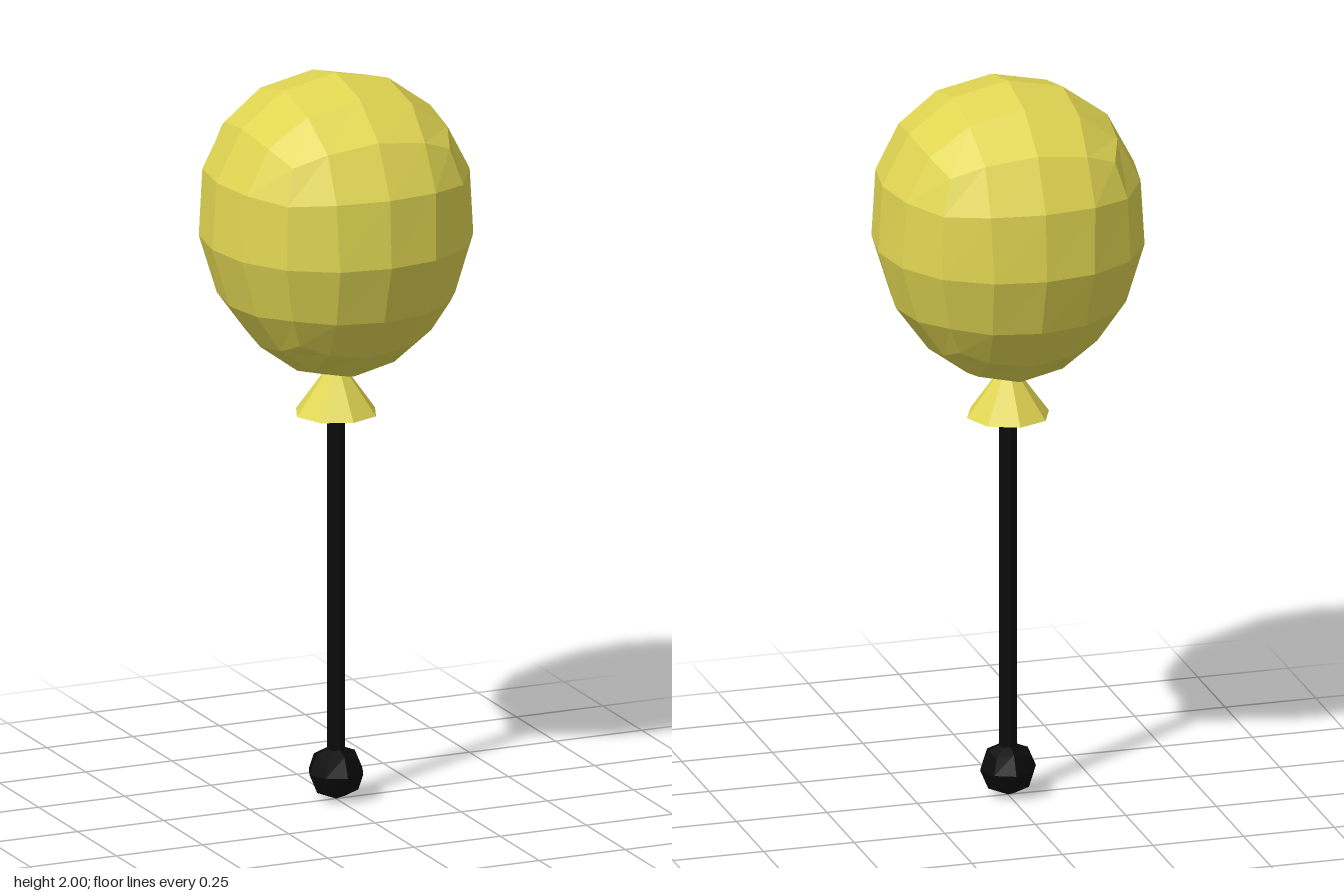
import * as THREE from 'three';

// Box grid rounded into a sphere of radius 1 with even quads
function quadSphere(segments) {
  const geo = new THREE.BoxGeometry(2, 2, 2, segments, segments, segments);
  const pos = geo.attributes.position;
  const bend = (v, a, b) => {
    const t = Math.tan(v * Math.PI / 4);
    return Math.abs(v) === 1 ? t : t * (1 + 0.31 * a * a * b * b);
  };
  const p = new THREE.Vector3();
  for (let i = 0; i < pos.count; i++) {
    const x = pos.getX(i), y = pos.getY(i), z = pos.getZ(i);
    p.set(bend(x, y, z), bend(y, x, z), bend(z, x, y)).normalize();
    pos.setXYZ(i, p.x, p.y, p.z);
  }
  return geo;
}

// Egg shape: fuller above the equator, tapering below
function balloonGeometry() {
  const geo = quadSphere(4);
  const pos = geo.attributes.position;
  for (let i = 0; i < pos.count; i++) {
    const x = pos.getX(i), y = pos.getY(i), z = pos.getZ(i);
    const square = 1 + 0.028 * Math.sin(2 * Math.atan2(z, x)) ** 2;
    const r = 0.358 * (1 + 0.15 * y - 0.05 * y * y) * square;
    const h = Math.sign(y) * Math.abs(y) ** 0.92 * (y > 0 ? 0.445 : 0.39);
    pos.setXYZ(i, x * r, 1.555 + h, z * r);
  }
  geo.computeVertexNormals();
  return geo;
}

export function createModel() {
  const model = new THREE.Group();
  model.name = 'balloonOnStick';

  const yellow = new THREE.MeshStandardMaterial({ color: 0xe0d552, flatShading: true });
  yellow.name = 'yellow';
  const black = new THREE.MeshStandardMaterial({ color: 0x0a0a0a, flatShading: true });
  black.name = 'black';

  const add = (name, geo, material, y = 0) => {
    const mesh = new THREE.Mesh(geo, material);
    mesh.name = name;
    mesh.position.y = y;
    model.add(mesh);
    return mesh;
  };

  add('balloon', balloonGeometry(), yellow);

  // Flared knot under the balloon
  add('knot', new THREE.CylinderGeometry(0.03, 0.113, 0.115, 8), yellow, 1.1225);

  // Stick with a round foot
  add('stick', new THREE.CylinderGeometry(0.025, 0.025, 1.08, 8), black, 0.62);
  const foot = quadSphere(2);
  foot.scale(0.077, 0.075, 0.077);
  add('foot', foot, black, 0.075);

  return model;
}
